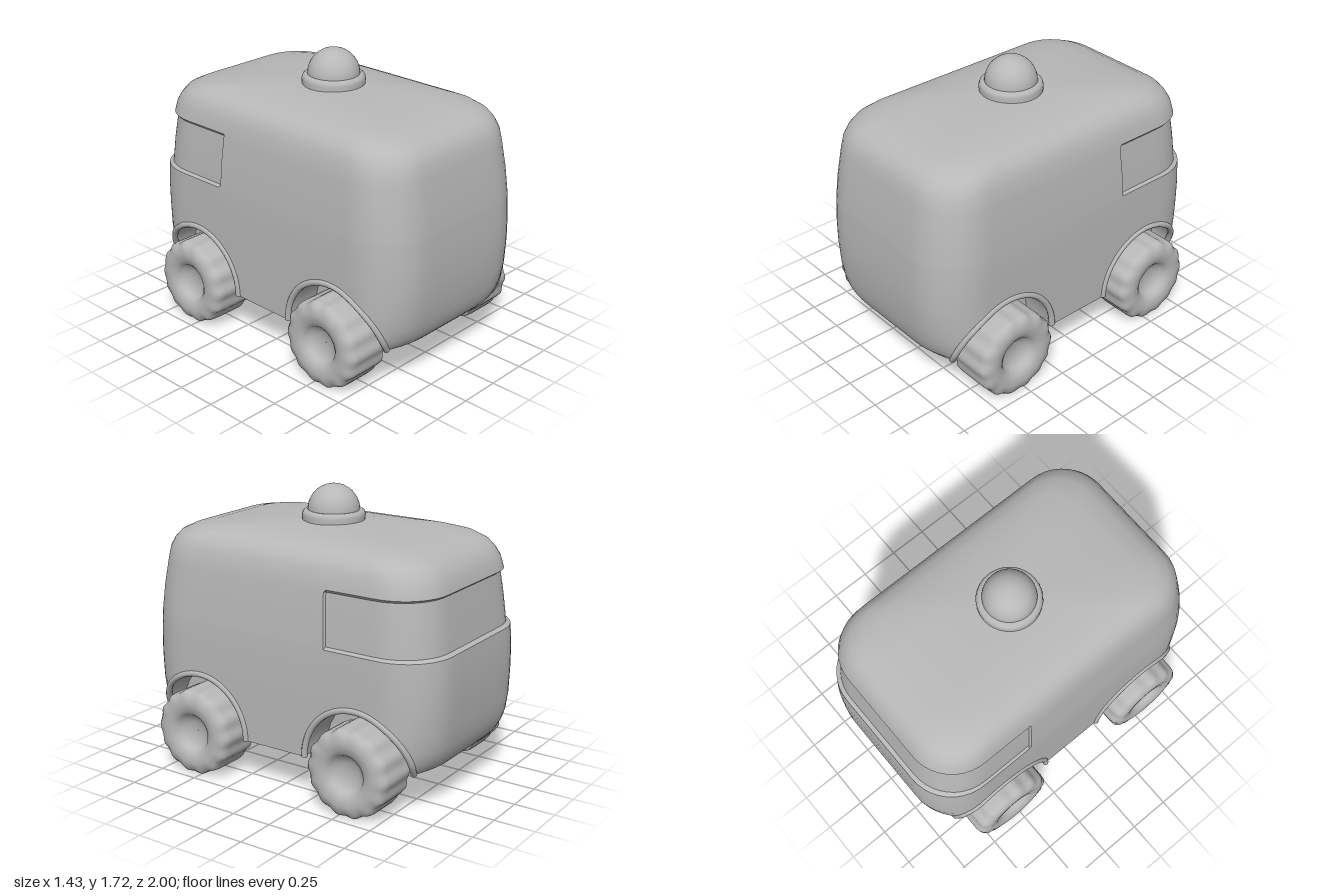
import * as THREE from 'three';
import { toCreasedNormals } from 'three/addons/utils/BufferGeometryUtils.js';

const grey = new THREE.MeshStandardMaterial({ color: 0xb8b8b8 });
grey.name = 'light grey';
const greyOpen = new THREE.MeshStandardMaterial({ color: 0xb8b8b8, side: THREE.DoubleSide });
greyOpen.name = 'light grey';

const FLOOR = 0.265, WHEEL_Z = 0.55, ARCH_R = 0.34, SILL_TOP = 0.66;

// Body outline by height: y, half width, reach to +z, reach to -z, window inset
const PROFILE = [
  [0.265, 0.42, 0.91, 0.92, 0], [0.29, 0.48, 0.935, 0.945, 0], [0.34, 0.54, 0.96, 0.97, 0],
  [0.4, 0.575, 0.975, 0.985, 0], [0.5, 0.603, 0.99, 0.995, 0], [0.66, 0.61, 1, 1, 0],
  [0.8, 0.61, 0.998, 1, 0], [0.93, 0.607, 0.99, 0.99, 0], [0.945, 0.606, 0.989, 0.988, 1],
  [1.1, 0.596, 0.97, 0.968, 1], [1.25, 0.579, 0.945, 0.945, 1], [1.265, 0.577, 0.942, 0.942, 0],
  [1.33, 0.565, 0.93, 0.925, 0], [1.38, 0.548, 0.905, 0.895, 0], [1.42, 0.525, 0.87, 0.86, 0],
  [1.455, 0.485, 0.8, 0.79, 0], [1.48, 0.42, 0.68, 0.67, 0], [1.5, 0.32, 0.48, 0.48, 0],
  [1.517, 0.17, 0.25, 0.25, 0], [1.522, 0.002, 0.002, 0.002, 0],
];

function profileAt(y) {
  let i = 1;
  while (i < PROFILE.length - 1 && PROFILE[i][0] < y) i++;
  const a = PROFILE[i - 1], b = PROFILE[i];
  const t = THREE.MathUtils.clamp((y - a[0]) / (b[0] - a[0]), 0, 1);
  return a.map((v, k) => (k === 4 ? 0 : v + (b[k] - v) * t));
}

// Columns of the rounded rectangular plan, with extra ones at arches and window edge
function planColumns() {
  const zs = [0, 0.1, 0.345, 0.365];
  for (let k = 0; k <= 16; k++) zs.push(WHEEL_Z - ARCH_R * Math.cos(k * Math.PI / 16));
  zs.sort((a, b) => a - b);
  const q = zs.map(z => [z < 0.7 ? 0.61 : 0.31 + Math.sqrt(0.09 - (z - 0.7) ** 2), z]);
  for (let d = 46; d <= 90; d += 8.8) {
    const a = THREE.MathUtils.degToRad(d);
    q.push([0.31 + 0.3 * Math.cos(a), 0.7 + 0.3 * Math.sin(a)]);
  }
  q.push([0.2, 1], [0.1, 1], [0, 1]);
  const half = [...q, ...q.slice(0, -1).reverse().map(([x, z]) => [-x, z])];
  return [...half, ...half.slice(1, -1).reverse().map(([x, z]) => [x, -z])];
}

// Height of the lower body edge, raised over the wheels
function lowerEdge(x, z) {
  const d = (Math.abs(z) - WHEEL_Z) / ARCH_R;
  return Math.abs(d) < 1 && Math.abs(x) > 0.4 ? FLOOR + 0.345 * Math.sqrt(1 - d * d) : FLOOR;
}

function bodyPoint([x, z], y, row) {
  const [, hx, zf, zb, inset] = row;
  const reach = z > 0 ? zf : zb;
  if (y < SILL_TOP) { // only the ends curl under
    const s = Math.abs(z) ** 8;
    return [x * (1 - (1 - hx / 0.61) * s), y, z - Math.sign(z) * (1 - reach) * s];
  }
  const k = inset && z < -0.35 ? 0.977 : 1;
  return [x * hx / 0.61 * k, y, z * reach * k];
}

// Joins rows of points into a closed band
function loft(rows, crease) {
  const n = rows[0].length, index = [];
  for (let r = 0; r < rows.length - 1; r++) {
    for (let c = 0; c < n; c++) {
      const a = r * n + c, b = r * n + (c + 1) % n;
      index.push(a, a + n, b, b, a + n, b + n);
    }
  }
  const g = new THREE.BufferGeometry();
  g.setAttribute('position', new THREE.Float32BufferAttribute(rows.flat(2), 3));
  g.setIndex(index);
  return toCreasedNormals(g, crease);
}

function add(parent, name, geometry, material = grey) {
  const mesh = new THREE.Mesh(geometry, material);
  mesh.name = name;
  parent.add(mesh);
  return mesh;
}

// Tyre with scalloped tread and dished hub, axis along x
function wheelGeometry() {
  const pts = [[0.001, 0.46], [0.07, 0.45], [0.115, 0.415], [0.2, 0.41], [0.235, 0.415], [0.254, 0.432],
    [0.258, 0.47], [0.258, 0.65], [0.254, 0.685], [0.235, 0.705], [0.19, 0.715], [0.14, 0.708],
    [0.115, 0.69], [0.1, 0.665], [0.06, 0.645], [0.001, 0.64]];
  const g = new THREE.LatheGeometry(pts.map(p => new THREE.Vector2(...p)), 84);
  const p = g.attributes.position;
  for (let i = 0; i < p.count; i++) {
    const x = p.getX(i), z = p.getZ(i);
    if (Math.hypot(x, z) < 0.22) continue;
    const k = 1 + 0.024 * Math.cos(14 * Math.atan2(x, z));
    p.setX(i, x * k);
    p.setZ(i, z * k);
  }
  return toCreasedNormals(g, 0.7).rotateZ(-Math.PI / 2);
}

export function createModel() {
  const model = new THREE.Group();
  model.name = 'toyVan';
  const cols = planColumns();

  // Body shell
  const rows = [0, 0.03, 0.08, 0.14, 0.22, 0.35, 0.6].map(t => cols.map(c => {
    const b = lowerEdge(...c), y = b + (SILL_TOP - b) * t;
    return bodyPoint(c, y, profileAt(y));
  }));
  for (const row of PROFILE) if (row[0] >= SILL_TOP) rows.push(cols.map(c => bodyPoint(c, row[0], row)));
  add(model, 'body', loft(rows, 0.7), greyOpen);

  // Underside with wheel wells
  const edge = rows[0];
  const inner = x => THREE.MathUtils.clamp(x, -0.38, 0.38);
  add(model, 'underside', loft([
    edge.map(([, , z]) => [0, FLOOR, z]),
    edge.map(([x, , z]) => [inner(x), FLOOR, z]),
    edge.map(([x, y, z]) => [inner(x), y, z]),
    edge,
  ], 0.6), greyOpen);

  // Raised lips around the wheel arches
  for (const sx of [1, -1]) for (const sz of [1, -1]) {
    const path = edge.filter((p, i) => cols[i][0] * sx > 0.4 && Math.abs(cols[i][1] * sz - WHEEL_Z) < ARCH_R + 0.001)
      .map(p => new THREE.Vector3(p[0] - sx * 0.004, p[1], p[2]));
    add(model, 'archLip', new THREE.TubeGeometry(new THREE.CatmullRomCurve3(path), 40, 0.019, 8));
  }

  // Wheels and axles
  const wheel = wheelGeometry();
  for (const z of [WHEEL_Z, -WHEEL_Z]) {
    for (const turn of [0, Math.PI]) {
      const w = add(model, 'wheel', wheel);
      w.position.set(0, 0.264, z);
      w.rotation.y = turn;
    }
    const axle = add(model, 'axle', new THREE.CylinderGeometry(0.042, 0.042, 0.94, 20).rotateZ(Math.PI / 2));
    axle.position.set(0, 0.258, z);
  }

  // Roof beacon
  const base = [[0.185, 1.5], [0.188, 1.545], [0.182, 1.565], [0.168, 1.575], [0.15, 1.575]];
  add(model, 'beaconBase', new THREE.LatheGeometry(base.map(p => new THREE.Vector2(...p)), 32));
  const dome = add(model, 'beaconDome', new THREE.SphereGeometry(0.155, 32, 12, 0, Math.PI * 2, 0, Math.PI / 2));
  dome.position.y = 1.571;
  return model;
}
